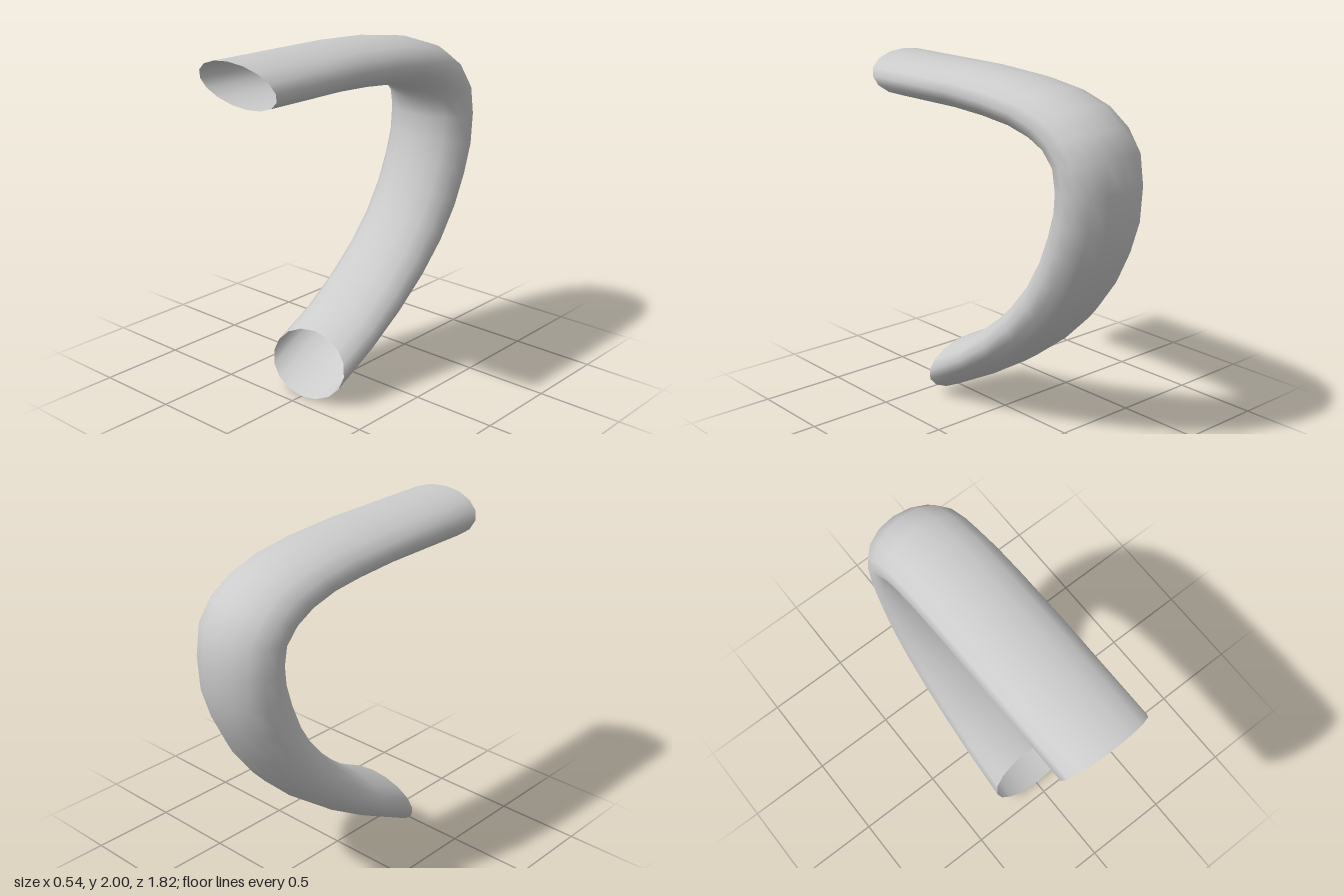
import * as THREE from 'three';

const SIDES = 16;
const HALF_WIDTH = 0.27;

// Cross-sections along the bend: [outer z, outer y, inner z, inner y]
const SECTIONS = [
  [0.91, 2.0, 0.79, 1.735],
  [0.14, 1.992, 0.25, 1.733],
  [-0.2, 1.972, 0.0, 1.72],
  [-0.45, 1.935, -0.2, 1.7],
  [-0.65, 1.87, -0.35, 1.665],
  [-0.79, 1.77, -0.455, 1.62],
  [-0.88, 1.64, -0.525, 1.555],
  [-0.905, 1.46, -0.545, 1.46],
  [-0.89, 1.25, -0.535, 1.34],
  [-0.825, 1.06, -0.5, 1.215],
  [-0.725, 0.865, -0.445, 1.07],
  [-0.58, 0.675, -0.355, 0.91],
  [-0.395, 0.5, -0.23, 0.755],
  [-0.165, 0.33, -0.08, 0.61],
  [0.1, 0.17, 0.1, 0.47],
  [0.425, 0.0, 0.31, 0.363],
];

// Skins elliptical rings, each spanning its outer and inner point, into an open tube
function bentTubeGeometry() {
  const positions = [];
  const indices = [];
  SECTIONS.forEach(([oz, oy, iz, iy], i) => {
    for (let j = 0; j < SIDES; j++) {
      const angle = (j / SIDES) * Math.PI * 2;
      const t = (1 - Math.cos(angle)) / 2;
      positions.push(
        Math.sin(angle) * HALF_WIDTH,
        THREE.MathUtils.lerp(oy, iy, t),
        THREE.MathUtils.lerp(oz, iz, t)
      );
      if (i === SECTIONS.length - 1) continue;
      const a = i * SIDES + j;
      const b = i * SIDES + ((j + 1) % SIDES);
      indices.push(a, b, a + SIDES, b, b + SIDES, a + SIDES);
    }
  });
  const geometry = new THREE.BufferGeometry();
  geometry.setAttribute('position', new THREE.Float32BufferAttribute(positions, 3));
  geometry.setIndex(indices);
  geometry.computeVertexNormals();
  return geometry;
}

export function createModel() {
  const group = new THREE.Group();
  group.name = 'bentPipe';
  // Open-ended pipe, visible inside and out
  const tube = new THREE.Mesh(
    bentTubeGeometry(),
    new THREE.MeshStandardMaterial({ color: 0xcccccc, side: THREE.DoubleSide })
  );
  tube.name = 'bentTube';
  group.add(tube);
  return group;
}
